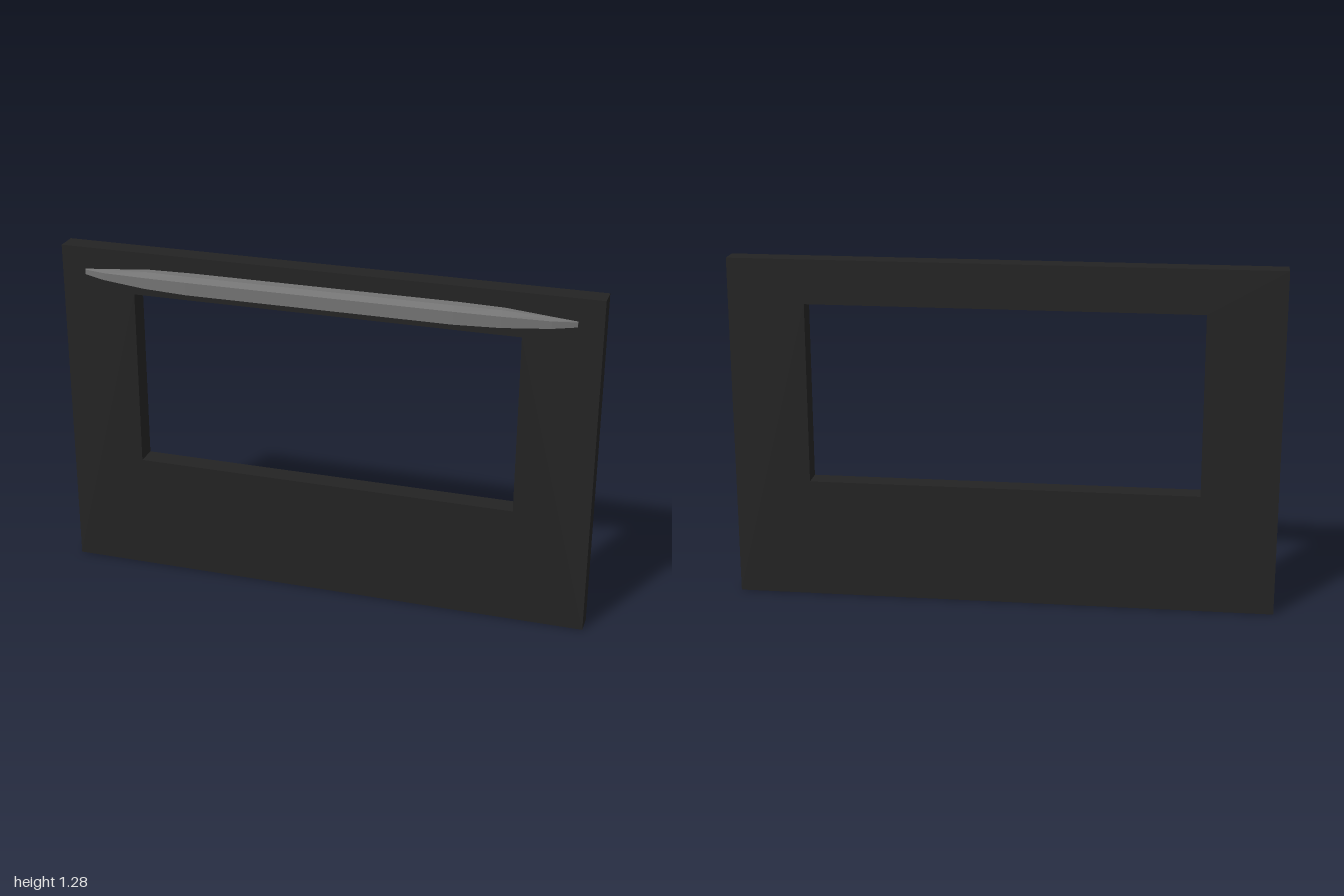
import * as THREE from 'three';

const BACK = -0.075, FACE = 0.005;

const rect = (target, x, y0, y1) => {
  target.moveTo(-x, y0);
  target.lineTo(x, y0);
  target.lineTo(x, y1);
  target.lineTo(-x, y1);
  target.closePath();
  return target;
};

// Flat slab with a rectangular window opening
function doorPanel(material) {
  const shape = rect(new THREE.Shape(), 1, 0, 1.28);
  shape.holes.push(rect(new THREE.Path(), 0.72, 0.445, 1.117));
  const geometry = new THREE.ExtrudeGeometry(shape, { depth: FACE - BACK, bevelEnabled: false });
  geometry.translate(0, 0, BACK);
  const mesh = new THREE.Mesh(geometry, material);
  mesh.name = 'doorPanel';
  return mesh;
}

// Bowed bar: five-sided cross-sections lofted along x, tapering to both ends
function handle(material) {
  // x, front z, ridge z, bottom y, front top y, ridge y
  const half = [
    [0.91, 0.007, 0.006, 1.176, 1.194, 1.197],
    [0.825, 0.034, 0.012, 1.171, 1.198, 1.204],
    [0.655, 0.062, 0.033, 1.165, 1.206, 1.219],
    [0.49, 0.075, 0.044, 1.163, 1.21, 1.222],
  ];
  const stations = [...half.map(([x, ...r]) => [-x, ...r]), ...half.slice().reverse()];
  const rings = stations.map(([x, front, ridge, bottom, lip, top]) => [
    [x, bottom + 0.008, FACE - 0.003],
    [x, bottom, front],
    [x, lip, front],
    [x, top, ridge],
    [x, top, FACE - 0.003],
  ]);
  const positions = [];
  const tri = (a, b, c) => positions.push(...a, ...b, ...c);
  for (let i = 0; i < rings.length - 1; i++) {
    const a = rings[i], b = rings[i + 1];
    for (let j = 0; j < 5; j++) {
      const k = (j + 1) % 5;
      tri(a[j], b[j], b[k]);
      tri(a[j], b[k], a[k]);
    }
  }
  // End caps
  const first = rings[0], last = rings[rings.length - 1];
  for (let j = 1; j < 4; j++) {
    tri(first[0], first[j], first[j + 1]);
    tri(last[0], last[j + 1], last[j]);
  }
  const geometry = new THREE.BufferGeometry();
  geometry.setAttribute('position', new THREE.Float32BufferAttribute(positions, 3));
  geometry.computeVertexNormals();
  const mesh = new THREE.Mesh(geometry, material);
  mesh.name = 'handle';
  return mesh;
}

export function createModel() {
  const black = new THREE.MeshStandardMaterial({ color: 0x232323 });
  black.name = 'black enamel';
  const grey = new THREE.MeshStandardMaterial({ color: 0x737373 });
  grey.name = 'grey metal';

  const group = new THREE.Group();
  group.name = 'ovenDoor';
  group.add(doorPanel(black), handle(grey));
  return group;
}
